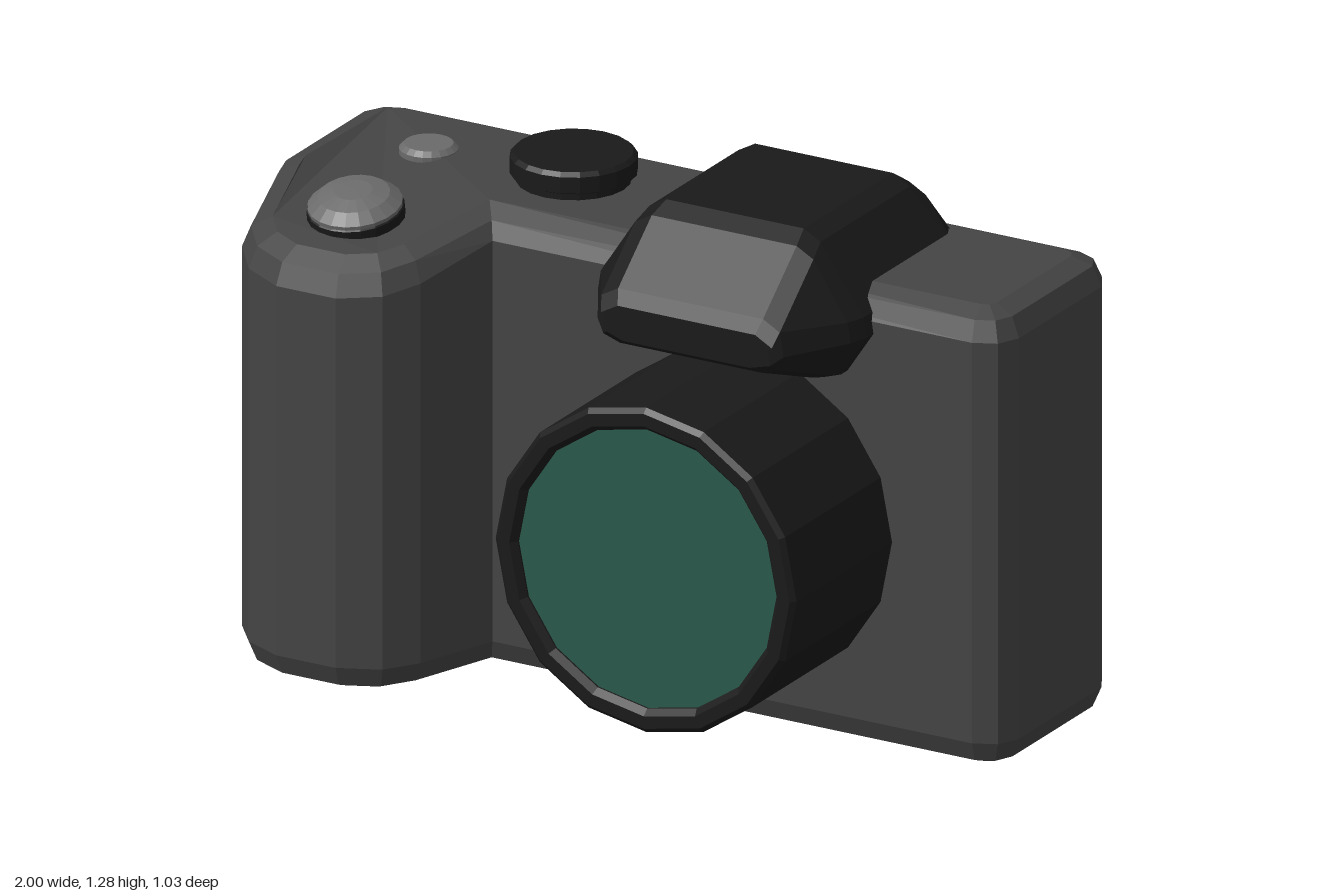
import * as THREE from 'three';

const material = (color) => new THREE.MeshStandardMaterial({ color, flatShading: true });
const BODY = material(0x444444);
const BLACK = material(0x1a1a1a);
const BUTTON = material(0x6a6a6a);
const GLASS = material(0x2a584a);
const RED = material(0xc83030);
const SCREEN = material(0xcccccc);

function add(parent, name, geometry, mat, x = 0, y = 0, z = 0) {
  const mesh = new THREE.Mesh(geometry, mat);
  mesh.name = name;
  mesh.position.set(x, y, z);
  parent.add(mesh);
  return mesh;
}

// Lathe around y from [radius, height] pairs
const lathe = (profile, sides) =>
  new THREE.LatheGeometry(profile.map(([r, h]) => new THREE.Vector2(r, h)), sides);

// Solid disc with a chamfered top edge, base at height 0
const disc = (r, h, sides = 20, c = 0.012) =>
  lathe([[0, 0], [r, 0], [r, h - c], [r - c, h], [0, h]], sides);

// Body with front grip: a footprint (x, z) raised with rounded top and bottom edges
function bodyGeometry() {
  const footprint = [
    [-1, -0.4], [-0.97, -0.455], [-0.91, -0.48], [0.91, -0.48], [0.97, -0.455], [1, -0.4],
    [1, -0.02], [0.975, 0.035], [0.92, 0.06], [-0.37, 0.06],
    [-0.445, 0.265], [-0.5, 0.345], [-0.6, 0.39], [-0.76, 0.39], [-0.86, 0.345],
    [-0.925, 0.265], [-0.985, 0.03], [-1, -0.03],
  ];
  const shape = new THREE.Shape(footprint.map(([x, z]) => new THREE.Vector2(x, -z)));
  const g = new THREE.ExtrudeGeometry(shape, {
    depth: 1, bevelThickness: 0.07, bevelSize: 0.07, bevelOffset: -0.07, bevelSegments: 2,
  });
  g.rotateX(-Math.PI / 2).translate(0, 0.07, 0);
  const p = g.attributes.position;
  const kept = [];
  for (let i = 0; i < p.count; i += 3) {
    // leave the flat rear wall open for the screen panel
    if ([0, 1, 2].every((k) => Math.abs(p.getZ(i + k) + 0.48) < 1e-4)) continue;
    for (let k = 0; k < 3; k++) {
      const x = p.getX(i + k), y = p.getY(i + k), z = p.getZ(i + k);
      // the grip's top slopes down to the front
      const drop = y > 0.9 && x < -0.38 ? 0.2 * Math.max(0, z) : 0;
      kept.push(x, y - drop, z);
    }
  }
  const out = new THREE.BufferGeometry();
  out.setAttribute('position', new THREE.Float32BufferAttribute(kept, 3));
  out.computeVertexNormals();
  return out;
}

function rectangle(Type, x0, x1, y0, y1) {
  return new Type([[x0, y0], [x1, y0], [x1, y1], [x0, y1]].map(([x, y]) => new THREE.Vector2(x, y)));
}

// Viewfinder hump: chamfered hexagonal sections lofted from back to front
function humpGeometry() {
  // z, top y, top half width, middle y, middle half width, bottom y, bottom half width
  const sections = [
    [-0.405, 1.12, 0.3, 1.07, 0.33, 0.94, 0.27],
    [-0.36, 1.25, 0.225, 1.07, 0.355, 0.92, 0.27],
    [-0.32, 1.28, 0.205, 1.07, 0.355, 0.92, 0.27],
    [0.09, 1.28, 0.205, 1.07, 0.355, 0.92, 0.27],
    [0.14, 1.255, 0.215, 1.07, 0.34, 0.935, 0.27],
    [0.295, 1.125, 0.215, 1.07, 0.25, 0.99, 0.22],
    [0.315, 1.09, 0.205, 1.05, 0.225, 1.005, 0.2],
  ];
  const positions = [];
  for (const [z, yt, wt, ym, wm, yb, wb] of sections) {
    const half = [
      [wb - 0.03, yb], [wb + 0.015, yb + 0.015], [wm, ym - 0.03],
      [wm - 0.008, ym + 0.02], [wt + 0.025, yt - 0.025], [wt - 0.02, yt],
    ];
    const ring = [...half, ...half.map(([x, y]) => [-x, y]).reverse()];
    for (const [x, y] of ring) positions.push(x, y, z);
  }
  const n = 12, last = (sections.length - 1) * n, index = [];
  for (let s = 0; s < last; s += n) {
    for (let i = 0; i < n; i++) {
      const j = (i + 1) % n;
      index.push(s + i, s + j, s + n + j, s + i, s + n + j, s + n + i);
    }
  }
  for (let i = 1; i < n - 1; i++) {
    index.push(0, i + 1, i, last, last + i, last + i + 1);
  }
  const g = new THREE.BufferGeometry();
  g.setAttribute('position', new THREE.Float32BufferAttribute(positions, 3));
  g.setIndex(index);
  g.computeVertexNormals();
  return g;
}

export function createModel() {
  const model = new THREE.Group();
  model.name = 'camera';

  add(model, 'body', bodyGeometry(), BODY);

  // Rear panel with a window for the recessed screen
  const panel = rectangle(THREE.Shape, -0.91, 0.91, 0.07, 1.07);
  panel.holes.push(rectangle(THREE.Path, -0.27, 0.85, 0.14, 1.03));
  add(model, 'rearPanel', new THREE.ExtrudeGeometry(panel, { depth: 0.04, bevelEnabled: false }),
    BODY, 0, 0, -0.48);
  add(model, 'screen', new THREE.BoxGeometry(1.14, 0.91, 0.03), SCREEN, 0.29, 0.585, -0.43);

  add(model, 'viewfinderHump', humpGeometry(), BLACK, 0.3);

  // Lens barrel with chamfered rim and slightly recessed glass
  const lens = new THREE.Group();
  lens.name = 'lens';
  lens.position.set(0.3, 0.53, 0);
  lens.rotation.x = Math.PI / 2;
  model.add(lens);
  add(lens, 'lensBarrel', lathe([
    [0, 0], [0.405, 0], [0.405, 0.5], [0.393, 0.512], [0.362, 0.512], [0.348, 0.495], [0.348, 0.46],
  ], 16), BLACK);
  add(lens, 'lensGlass', disc(0.35, 0.02, 16, 0.001), GLASS, 0, 0.47, 0);

  // Top controls
  add(model, 'modeDial', lathe([
    [0, 0], [0.135, 0], [0.135, 0.035], [0.15, 0.042], [0.15, 0.082], [0.14, 0.092], [0, 0.092],
  ], 20), BLACK, -0.315, 1.12, -0.22);
  add(model, 'topButton', disc(0.07, 0.025), BUTTON, -0.705, 1.13, -0.22);

  const shutter = new THREE.Group();
  shutter.name = 'shutterButton';
  shutter.position.set(-0.685, 1.11, 0.15);
  shutter.rotation.x = Math.atan(0.2);
  model.add(shutter);
  add(shutter, 'shutterCollar', disc(0.115, 0.04, 20, 0.005), BLACK, 0, -0.02, 0);
  add(shutter, 'shutterCap', lathe([
    [0, 0], [0.112, 0], [0.112, 0.022], [0.085, 0.045], [0.045, 0.056], [0, 0.058],
  ], 20), BUTTON, 0, 0.005, 0);

  // Rear controls: name, x, y, radius, height
  const rear = [
    ['recordButton', -0.405, 0.91, 0.07, 0.018],
    ['menuButton', -0.405, 0.705, 0.058, 0.013],
    ['controlDial', -0.575, 0.465, 0.155, 0.035],
    ['playButton', -0.405, 0.225, 0.06, 0.013],
  ];
  for (const [name, x, y, r, h] of rear) {
    add(model, name, disc(r, h + 0.02), BUTTON, x, y, -0.46).rotation.x = -Math.PI / 2;
  }
  add(model, 'recordDot', disc(0.043, 0.02, 20, 0.002), RED, -0.405, 0.91, -0.481).rotation.x = -Math.PI / 2;

  return model;
}
